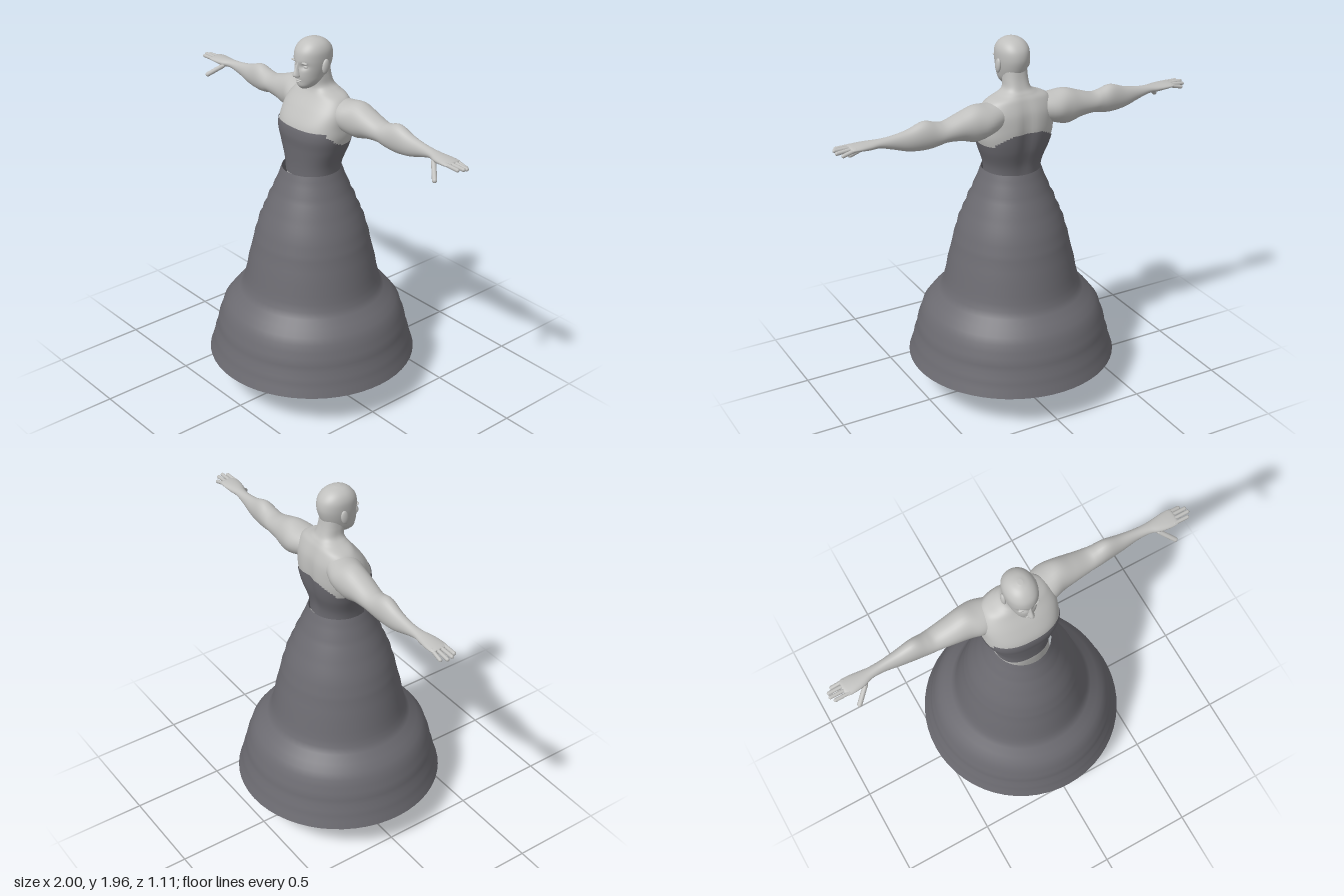
import * as THREE from 'three';

const skin = new THREE.MeshStandardMaterial({ color: 0xc0c0be });
skin.name = 'skin';
const cloth = new THREE.MeshStandardMaterial({ color: 0x6c6b71, side: THREE.DoubleSide });
cloth.name = 'dress cloth';

// Axes of the cross-section for each loft direction: [along, u, v]
const AXES = { x: ['x', 'z', 'y'], y: ['y', 'x', 'z'], z: ['z', 'y', 'x'] };

// Smooth skin over rounded sections; each row is [t, uMin, uMax, vMin, vMax]
function loft(axis, rows, { sides = 32, sub = 5, power = 2, warp, keep, caps = true } = {}) {
  const [ta, ua, va] = AXES[axis];
  const at = (i) => rows[Math.max(0, Math.min(rows.length - 1, i))];
  const pts = [], index = [];
  const rings = (rows.length - 1) * sub + 1;
  const round = (c) => Math.sign(c) * Math.pow(Math.abs(c), 2 / power);
  for (let r = 0; r < rings; r++) {
    const i = Math.min(Math.floor(r / sub), rows.length - 2), f = r / sub - i;
    const [t, u0, u1, v0, v1] = rows[0].map((_, k) =>
      THREE.MathUtils.lerp(0, 1, 1) * catmull(at(i - 1)[k], at(i)[k], at(i + 1)[k], at(i + 2)[k], f));
    for (let j = 0; j < sides; j++) {
      const a = (j / sides) * Math.PI * 2, p = new THREE.Vector3();
      p[ta] = t;
      p[ua] = (u0 + u1) / 2 + ((u1 - u0) / 2) * round(Math.cos(a));
      p[va] = (v0 + v1) / 2 + ((v1 - v0) / 2) * round(Math.sin(a));
      if (warp) warp(p);
      pts.push(p);
    }
  }
  for (let r = 0; r < rings - 1; r++) {
    for (let j = 0; j < sides; j++) {
      const a = r * sides + j, b = r * sides + ((j + 1) % sides), c = a + sides, d = b + sides;
      if (keep && !keep(pts[a].clone().add(pts[d]).multiplyScalar(0.5))) continue;
      index.push(a, c, b, b, c, d);
    }
  }
  if (caps) {
    for (const [ring, flip] of [[0, false], [rings - 1, true]]) {
      const mid = new THREE.Vector3(), start = ring * sides;
      for (let j = 0; j < sides; j++) mid.addScaledVector(pts[start + j], 1 / sides);
      const m = pts.push(mid) - 1;
      for (let j = 0; j < sides; j++) {
        const a = start + j, b = start + ((j + 1) % sides);
        flip ? index.push(m, b, a) : index.push(m, a, b);
      }
    }
  }
  const geo = new THREE.BufferGeometry().setFromPoints(pts);
  geo.setIndex(index);
  geo.computeVertexNormals();
  return geo;
}

function catmull(a, b, c, d, f) {
  const m0 = (c - a) / 2, m1 = (d - b) / 2, f2 = f * f, f3 = f2 * f;
  return (2 * f3 - 3 * f2 + 1) * b + (f3 - 2 * f2 + f) * m0 + (3 * f2 - 2 * f3) * c + (f3 - f2) * m1;
}

// Rows symmetric in x: [y, halfWidth, zBack, zFront]
const symmetric = (rows, grow = 0) =>
  rows.map(([y, w, b, f]) => [y, -w - grow, w + grow, b - grow, f + grow]);

function capsule(a, b, r) {
  const from = new THREE.Vector3(...a), dir = new THREE.Vector3(...b).sub(from);
  const geo = new THREE.CapsuleGeometry(r, dir.length(), 6, 12);
  geo.translate(0, dir.length() / 2, 0);
  geo.applyQuaternion(new THREE.Quaternion().setFromUnitVectors(new THREE.Vector3(0, 1, 0), dir.normalize()));
  return geo.translate(from.x, from.y, from.z);
}

function ellipsoid(pos, size) {
  return new THREE.SphereGeometry(1, 20, 14).scale(...size).translate(...pos);
}

function mirrored(geo) {
  const g = geo.clone().scale(-1, 1, 1), ix = g.index;
  for (let i = 0; i < ix.count; i += 3) {
    const t = ix.getX(i);
    ix.setX(i, ix.getX(i + 1));
    ix.setX(i + 1, t);
  }
  return g;
}

export function createModel() {
  const model = new THREE.Group();
  model.name = 'figureInDress';
  const add = (name, geo, mat = skin) => {
    const mesh = new THREE.Mesh(geo, mat);
    mesh.name = name;
    model.add(mesh);
  };
  const addPair = (name, geo) => {
    add(name + 'Left', geo);
    add(name + 'Right', mirrored(geo));
  };
  const bump = (d, s) => Math.exp(-((d / s) ** 2));

  // Torso and neck, with a shallow spine groove
  const torso = [
    [0.88, 0.1, -0.1, 0.04], [0.95, 0.165, -0.15, 0.08], [1.05, 0.165, -0.15, 0.09],
    [1.2, 0.143, -0.13, 0.108], [1.3, 0.147, -0.133, 0.113], [1.4, 0.182, -0.163, 0.122],
    [1.47, 0.202, -0.177, 0.13], [1.53, 0.203, -0.182, 0.12], [1.6, 0.2, -0.176, 0.078],
    [1.66, 0.165, -0.155, 0.03], [1.69, 0.1, -0.137, 0.014], [1.715, 0.069, -0.12, 0.012],
    [1.76, 0.062, -0.105, 0.02], [1.82, 0.06, -0.095, 0.03],
  ];
  const spine = (p) => {
    if (p.z < -0.08) p.z += 0.014 * bump(p.x, 0.035) * bump(p.y - 1.48, 0.18);
  };
  const body = { sides: 72, sub: 8, power: 2.4, warp: spine };
  add('torso', loft('y', symmetric(torso), body));

  // Bodice with a stepped upper edge, lower under the arms
  const hem = (p) => {
    if (p.z > 0.065) return 1.515;
    if (p.z > -0.13) return 1.437 + Math.max(0, p.z + 0.02) * 0.7;
    return Math.min(1.5, 1.437 + (0.19 - Math.abs(p.x)) * 0.6);
  };
  add('bodice', loft('y', symmetric(torso, 0.004),
    { ...body, caps: false, keep: (p) => p.y > 1.24 && p.y < hem(p) }), cloth);

  // Flared skirt with uneven tiers
  const skirt = [
    [0.553, 0.2], [0.54, 0.24], [0.53, 0.27], [0.525, 0.3], [0.511, 0.33], [0.508, 0.36],
    [0.499, 0.4], [0.485, 0.43], [0.475, 0.47], [0.452, 0.5], [0.425, 0.535], [0.385, 0.57],
    [0.365, 0.6], [0.356, 0.64], [0.345, 0.68], [0.335, 0.74], [0.319, 0.8], [0.305, 0.86],
    [0.3, 0.89], [0.285, 0.93], [0.276, 0.975], [0.26, 1.0], [0.254, 1.03], [0.235, 1.06],
    [0.226, 1.1], [0.205, 1.13], [0.198, 1.16], [0.175, 1.21], [0.165, 1.24], [0.154, 1.27],
  ].map(([r, y]) => new THREE.Vector2(r, y));
  add('skirt', new THREE.LatheGeometry(skirt, 56), cloth);

  // Head with hollowed eye sockets
  const head = [
    [1.708, 0.022, 0.0, 0.068], [1.725, 0.042, -0.03, 0.083], [1.75, 0.058, -0.065, 0.088],
    [1.78, 0.067, -0.09, 0.093], [1.82, 0.076, -0.107, 0.093], [1.86, 0.081, -0.115, 0.094],
    [1.9, 0.08, -0.109, 0.087], [1.93, 0.067, -0.088, 0.067], [1.95, 0.043, -0.058, 0.04],
    [1.96, 0.012, -0.02, 0.008],
  ];
  add('head', loft('y', symmetric(head), {
    sides: 64, sub: 7, power: 2.15,
    warp: (p) => {
      if (p.z > 0.03) p.z -= 0.014 * bump(Math.abs(p.x) - 0.034, 0.018) * bump(p.y - 1.832, 0.015);
    },
  }));
  add('nose', loft('y', symmetric([
    [1.772, 0.01, 0.07, 0.1], [1.779, 0.017, 0.07, 0.115], [1.79, 0.016, 0.07, 0.119],
    [1.82, 0.009, 0.07, 0.106], [1.85, 0.008, 0.07, 0.094],
  ]), { sides: 20 }));
  add('upperLip', ellipsoid([0, 1.757, 0.086], [0.023, 0.005, 0.01]));
  add('lowerLip', ellipsoid([0, 1.747, 0.085], [0.019, 0.005, 0.01]));
  addPair('eye', ellipsoid([0.034, 1.83, 0.067], [0.015, 0.008, 0.011]));
  addPair('brow', ellipsoid([0.036, 1.851, 0.08], [0.022, 0.006, 0.01]));
  addPair('ear', ellipsoid([0, 0, 0], [0.012, 0.038, 0.021]).rotateX(-0.15).translate(0.083, 1.825, -0.02));

  // Arms: shoulder, elbow, wrist and palm in one sweep
  addPair('arm', loft('x', [
    [0.08, -0.14, -0.02, 1.54, 1.655], [0.18, -0.178, 0.008, 1.505, 1.662],
    [0.26, -0.175, -0.012, 1.485, 1.671], [0.34, -0.165, -0.022, 1.505, 1.645],
    [0.42, -0.157, -0.034, 1.513, 1.62], [0.47, -0.15, -0.04, 1.502, 1.626],
    [0.535, -0.145, -0.047, 1.495, 1.642], [0.62, -0.135, -0.058, 1.505, 1.615],
    [0.7, -0.124, -0.066, 1.53, 1.6], [0.77, -0.12, -0.062, 1.55, 1.594],
    [0.82, -0.125, -0.045, 1.55, 1.592], [0.87, -0.13, -0.037, 1.555, 1.59],
    [0.91, -0.129, -0.037, 1.561, 1.586], [0.922, -0.12, -0.045, 1.567, 1.581],
  ]));

  // Fingers and thumb
  [[-0.119, 0.965, 1.558], [-0.097, 0.988, 1.567], [-0.073, 0.99, 1.573], [-0.049, 0.975, 1.572]]
    .forEach(([z, tip, y], i) =>
      addPair('finger' + (i + 1), capsule([0.9, 1.574, z * 0.95 - 0.003], [tip, y, z], 0.0098)));
  addPair('thumb', capsule([0.815, 1.558, -0.055], [0.882, 1.502, 0.002], 0.0125));

  // Legs
  addPair('leg', loft('y', [
    [0.04, 0.108, 0.162, -0.147, -0.06], [0.1, 0.105, 0.163, -0.143, -0.048],
    [0.2, 0.097, 0.168, -0.145, -0.045], [0.35, 0.085, 0.18, -0.165, -0.035],
    [0.48, 0.082, 0.174, -0.14, -0.025], [0.6, 0.072, 0.176, -0.13, -0.01],
    [0.75, 0.035, 0.183, -0.145, 0.03], [0.9, 0.008, 0.185, -0.15, 0.06],
    [1.0, 0.02, 0.165, -0.145, 0.07],
  ]));

  // Feet and toes
  addPair('foot', loft('z', [
    [-0.156, 0.02, 0.05, 0.12, 0.15], [-0.145, 0.006, 0.075, 0.107, 0.163],
    [-0.08, 0.002, 0.11, 0.104, 0.167], [-0.03, 0.004, 0.1, 0.1, 0.17],
    [0.03, 0.004, 0.064, 0.092, 0.185], [0.08, 0.002, 0.038, 0.087, 0.197],
    [0.1, 0.003, 0.028, 0.089, 0.197], [0.108, 0.008, 0.02, 0.1, 0.187],
  ], { power: 2.3 }));
  for (let i = 0; i < 5; i++) {
    const r = i ? 0.0105 - i * 0.0004 : 0.0145;
    const x = i ? 0.105 + i * 0.0215 : 0.102;
    addPair('toe' + (i + 1), capsule([x, r + 0.003, 0.08 - i * 0.006], [x, r, 0.12 - i * 0.009], r));
  }
  return model;
}
